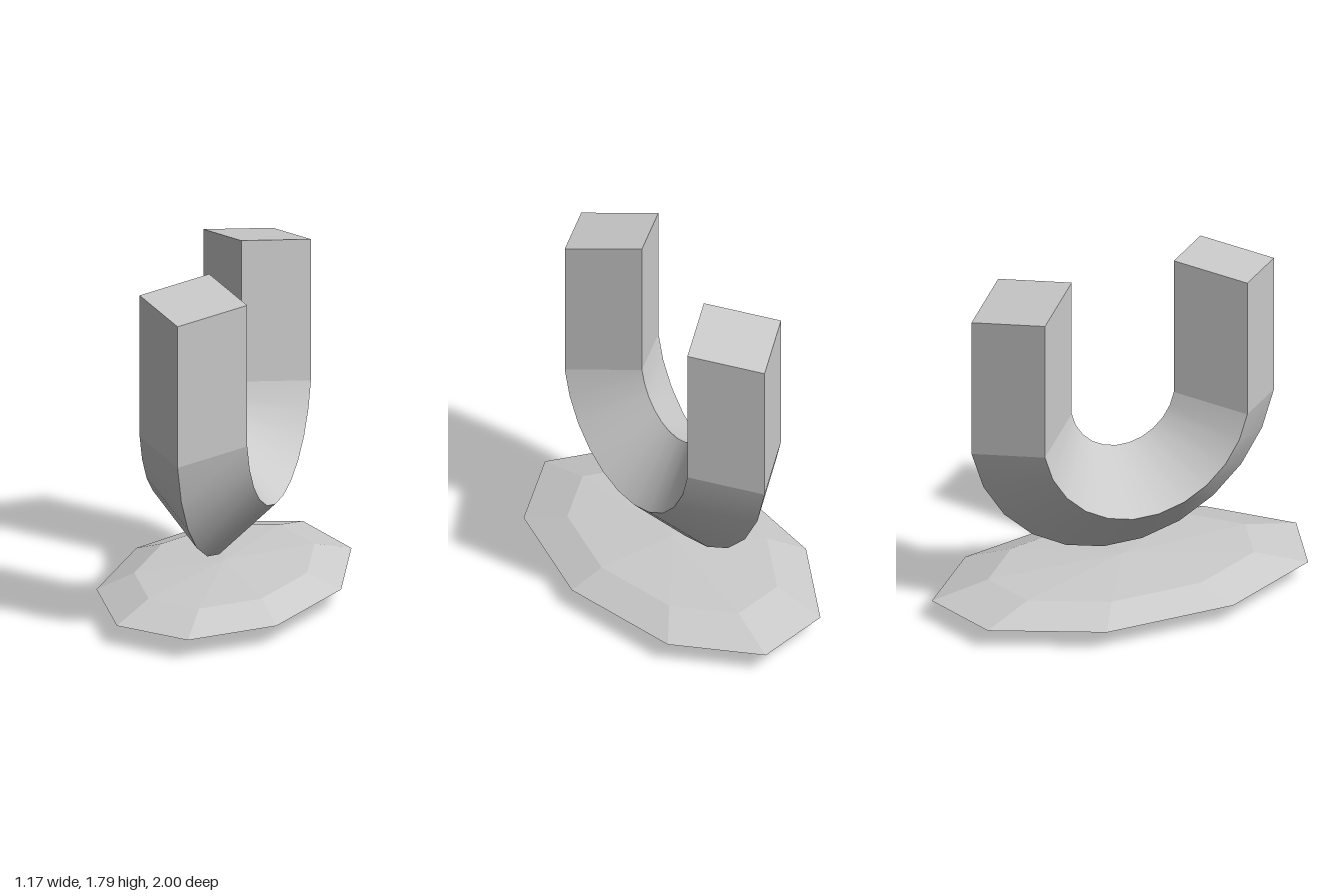
import * as THREE from 'three';

const CENTRE_X = -0.02;  // shared axis of base and U
const BEND_Y = 1.1;      // centre height of the bend
const BEND_R = 0.565;    // radius of the bend's centre line
const HALF = 0.28;       // half diagonal of the square bar
const LEG = 0.74;        // length of each straight leg
const STEP = (Math.PI * 2) / 25;
const END = 5.5 * STEP;  // bend angle either side of the bottom

// Diamond cross-section at angle t from the bottom: outer, left, inner, right corner
function section(t, lift = 0) {
  return [[HALF, 0], [0, HALF], [-HALF, 0], [0, -HALF]].map(([dr, dx]) => [
    CENTRE_X + dx,
    BEND_Y + lift - (BEND_R + dr) * Math.cos(t),
    (BEND_R + dr) * Math.sin(t),
  ]);
}

// Skin a row of sections: smooth along the bar, sharp at its four edges
function loft(sections, capStart, capEnd) {
  const pos = [], index = [];
  for (let k = 0; k < 4; k++) {
    const first = pos.length / 3;
    sections.forEach((s, i) => {
      pos.push(...s[k], ...s[(k + 1) % 4]);
      if (i === 0) return;
      const a = first + 2 * (i - 1);
      index.push(a, a + 1, a + 3, a, a + 3, a + 2);
    });
  }
  const cap = (corners) => {
    const n = pos.length / 3;
    pos.push(...corners.flat());
    index.push(n, n + 1, n + 2, n, n + 2, n + 3);
  };
  if (capStart) cap([...sections[0]].reverse());
  if (capEnd) cap(sections[sections.length - 1]);
  const geo = new THREE.BufferGeometry();
  geo.setAttribute('position', new THREE.Float32BufferAttribute(pos, 3));
  geo.setIndex(index);
  geo.computeVertexNormals();
  return geo;
}

export function createModel() {
  const model = new THREE.Group();
  const smooth = new THREE.MeshStandardMaterial({ color: 0xcccccc });
  const faceted = new THREE.MeshStandardMaterial({ color: 0xcccccc, flatShading: true });
  const add = (name, geo, material) => {
    const mesh = new THREE.Mesh(geo, material);
    mesh.name = name;
    model.add(mesh);
    return mesh;
  };

  // Flattened nine-sided faceted base
  const base = add('base', new THREE.SphereGeometry(1, 9, 4, Math.PI), faceted);
  base.scale.set(0.603, 0.1, 1.015);
  base.position.set(CENTRE_X, 0.1, 0);

  // Curved lower part of the U
  const arc = [];
  for (let i = 0; i <= 11; i++) arc.push(section(-END + i * STEP));
  add('bend', loft(arc, false, false), smooth);

  // Straight legs with slanted tops
  add('frontLeg', loft([section(END), section(END, LEG)], false, true), smooth);
  add('backLeg', loft([section(-END, LEG), section(-END)], true, false), smooth);

  return model;
}
